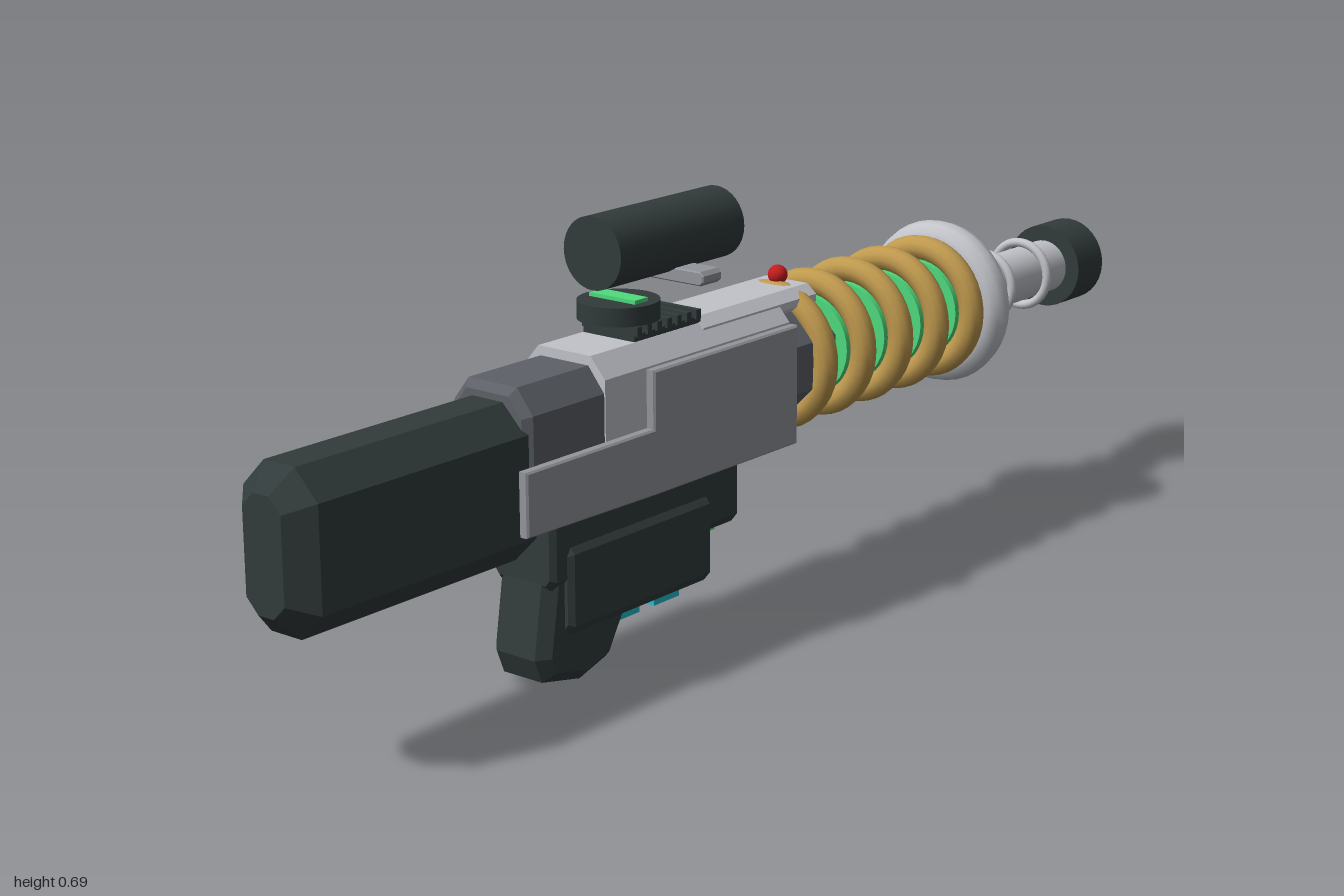
import * as THREE from 'three';

const mat = (name, color, extra) => Object.assign(new THREE.MeshStandardMaterial({ color }), { name }, extra);

export function createModel() {
  const M = {
    dark: mat('charcoal', 0x323b3b),
    mid: mat('steel grey', 0x5d6167),
    plate: mat('plate grey', 0x94969c),
    light: mat('light grey', 0xc2c4ca),
    gold: mat('gold', 0xbf994e),
    green: mat('glow green', 0x4fdb7d),
    cyan: mat('cyan', 0x22bfd4),
    red: mat('red', 0xc41c1c),
    navy: mat('lens navy', 0x1d3c4d),
  };
  const root = new THREE.Group();
  root.name = 'blaster';
  const AXIS = 0.392; // height of the barrel axis

  const add = (name, geo, m, x = 0, y = 0, z = 0) => {
    const mesh = new THREE.Mesh(geo, m);
    mesh.name = name;
    mesh.position.set(x, y, z);
    root.add(mesh);
    return mesh;
  };

  // Plain box given by its limits in x, y and z
  const box = (name, m, x0, x1, y0, y1, z0, z1) =>
    add(name, new THREE.BoxGeometry(x1 - x0, y1 - y0, z1 - z0), m, (x0 + x1) / 2, (y0 + y1) / 2, (z0 + z1) / 2);

  // Box along z with cut long edges (cx, cy) and bevelled ends (b)
  const cutBox = (name, m, hx, y0, y1, z0, z1, cx, cy, b) => {
    const X = hx - b, B = y0 + b, T = y1 - b;
    const s = new THREE.Shape([
      [X - cx, B], [X, B + cy], [X, T - cy], [X - cx, T],
      [-X + cx, T], [-X, T - cy], [-X, B + cy], [-X + cx, B],
    ].map(p => new THREE.Vector2(...p)));
    const geo = new THREE.ExtrudeGeometry(s, {
      depth: z1 - z0 - 2 * b, bevelEnabled: b > 0, bevelSize: b, bevelThickness: b, bevelSegments: 1,
    });
    return add(name, geo, m, 0, 0, z0 + b);
  };

  // Side profile of [z, y] points, extruded across x
  const profile = (name, m, pts, hx, b, x = 0) => {
    const geo = new THREE.ExtrudeGeometry(new THREE.Shape(pts.map(p => new THREE.Vector2(...p))), {
      depth: 2 * (hx - b), bevelEnabled: b > 0, bevelSize: b, bevelOffset: -b, bevelThickness: b, bevelSegments: 1,
    });
    geo.translate(0, 0, -(hx - b)).rotateY(-Math.PI / 2);
    return add(name, geo, m, x);
  };

  // Cylinder along z: rBack at z1, rFront at z0 (muzzle side)
  const tube = (name, m, rFront, rBack, z0, z1, y = AXIS, sides = 32) =>
    add(name, new THREE.CylinderGeometry(rFront, rBack, z1 - z0, sides).rotateX(-Math.PI / 2), m, 0, y, (z0 + z1) / 2);
  const ring = (name, m, R, r, z) => add(name, new THREE.TorusGeometry(R, r, 12, 40), m, 0, AXIS, z);
  // Dome bulging towards the muzzle
  const dome = (name, m, r, depth, z, y) => {
    const geo = new THREE.SphereGeometry(r, 28, 10, 0, Math.PI * 2, 0, Math.PI / 2);
    geo.scale(1, depth / r, 1).rotateX(-Math.PI / 2);
    return add(name, geo, m, 0, y, z);
  };

  // Stock and receiver
  cutBox('stock', M.dark, 0.072, 0.223, 0.465, 0.51, 1.0, 0.022, 0.022, 0.035);
  cutBox('rearReceiver', M.mid, 0.077, 0.275, 0.487, 0.36, 0.565, 0.024, 0.03, 0.012);
  cutBox('receiver', M.light, 0.079, 0.272, 0.502, -0.04, 0.4, 0.028, 0.032, 0);
  cutBox('receiverNose', M.light, 0.06, 0.468, 0.51, -0.135, 0.15, 0.018, 0.015, 0);

  // Stepped side plates with a raised outer layer
  for (const s of [-1, 1]) {
    profile('sidePlate', M.plate, [
      [0.59, 0.28], [0.59, 0.378], [0.31, 0.378], [0.31, 0.468], [-0.04, 0.468], [-0.04, 0.275], [0.3, 0.275],
    ], 0.009, 0.003, s * 0.088);
    box('sideRidge', M.plate, s * 0.089 - 0.008, s * 0.089 + 0.008, 0.325, 0.463, 0.0, 0.29);
  }

  // Grip, housing and lower controls
  profile('grip', M.dark, [
    [0.485, 0.27], [0.518, 0.06], [0.503, 0.022], [0.42, 0.004], [0.36, 0.022], [0.32, 0.09], [0.3, 0.27],
  ], 0.056, 0.018);
  cutBox('lowerHousing', M.dark, 0.07, 0.09, 0.232, 0.14, 0.47, 0.008, 0.01, 0.008);
  cutBox('upperHousing', M.dark, 0.062, 0.165, 0.278, 0.062, 0.5, 0.008, 0.01, 0.008);
  for (const [z0, z1] of [[0.285, 0.34], [0.19, 0.25]]) box('cyanTab', M.cyan, -0.042, 0.042, 0.072, 0.094, z0, z1);
  box('greenTab', M.green, -0.04, 0.04, 0.157, 0.17, 0.1, 0.145);

  // Top rail with teeth
  box('railBase', M.dark, -0.05, 0.05, 0.5, 0.513, 0.145, 0.3);
  for (let i = 0; i < 7; i++) {
    const z = 0.15 + i * 0.023;
    box('railTooth', M.dark, -0.055, 0.055, 0.51, 0.525, z, z + 0.01);
  }

  // Sight dial, cross bar and scope
  add('sightDial', new THREE.CylinderGeometry(0.063, 0.063, 0.029, 32), M.dark, 0, 0.5425, 0.277);
  box('dialLight', M.green, -0.045, 0.045, 0.556, 0.563, 0.262, 0.292);
  cutBox('scopeCrossBar', M.plate, 0.088, 0.57, 0.592, 0.14, 0.185, 0.005, 0.005, 0.002);
  tube('scope', M.dark, 0.056, 0.056, 0.045, 0.335, 0.636);
  tube('scopeLens', M.navy, 0.049, 0.049, 0.039, 0.046, 0.636);
  add('frontBead', new THREE.SphereGeometry(0.016, 20, 14), M.red, 0, 0.522, -0.112);

  // Barrel shroud and core
  const shroud = tube('barrelShroud', M.mid, 0.1, 0.1, -0.13, 0.0, AXIS, 8);
  const collar = tube('shroudTaper', M.mid, 0.06, 0.1, -0.195, -0.13, AXIS, 8);
  for (const m of [shroud, collar]) {
    m.rotation.z = Math.PI / 8;
    m.geometry = m.geometry.toNonIndexed();
    m.geometry.computeVertexNormals();
  }
  tube('barrelCore', M.dark, 0.054, 0.054, -0.6, -0.15);

  // Coils: gold ring over a green disc, with a light band between
  for (let i = 0; i < 5; i++) {
    const z = -0.104 - i * 0.1035;
    ring('goldCoil', M.gold, 0.102, 0.021, z);
    tube('coilDisc', M.green, 0.082, 0.082, z - 0.028, z + 0.018);
    if (i > 0 && i < 4) ring('coreBand', M.light, 0.056, 0.009, z - 0.062);
  }

  // Large collar and glowing dome
  ring('collarRing', M.light, 0.109, 0.032, -0.566);
  tube('collarSeat', M.navy, 0.1, 0.104, -0.612, -0.55);
  dome('energyDome', M.green, 0.088, 0.082, -0.607, AXIS);

  // Front barrel and muzzle
  tube('frontBarrel', M.light, 0.047, 0.047, -0.92, -0.6);
  for (const z of [-0.712, -0.826]) ring('barrelBand', M.light, 0.057, 0.008, z);
  tube('muzzle', M.dark, 0.074, 0.074, -0.986, -0.905);
  dome('muzzleLens', M.cyan, 0.053, 0.015, -0.985, AXIS);

  return root;
}
